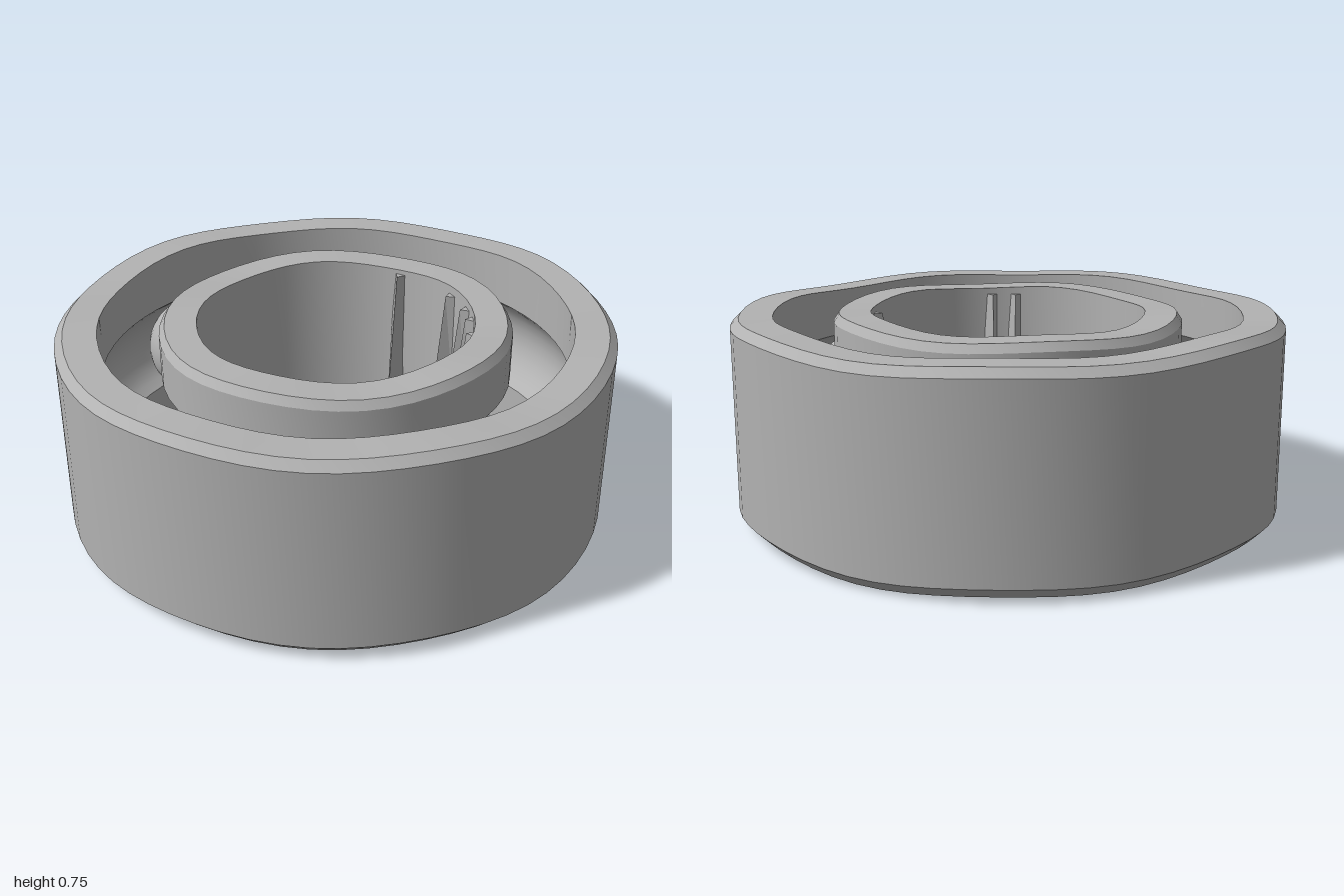
import * as THREE from 'three';
import { toCreasedNormals } from 'three/addons/utils/BufferGeometryUtils.js';

const BOTTOM = 0.015, TOP = 0.745, MID = 0.38;
const PITCH = 0.75, BALL = 0.195, GROOVE = 0.2;

// Arc of the ball groove cut into a wall of radius r, listed from angle a to angle b
function grooveArc(r, a, b) {
  const points = [];
  for (let i = 0; i <= 10; i++) {
    const t = a + (b - a) * i / 10;
    points.push(new THREE.Vector2(PITCH + GROOVE * Math.cos(t), MID + GROOVE * Math.sin(t)));
  }
  return points;
}

// Closed cross-section spun round the axis, with slightly uneven rims
function ring(name, profile, segments, waves, material) {
  const geometry = new THREE.LatheGeometry([...profile, profile[0].clone()], segments);
  const p = geometry.attributes.position;
  for (let i = 0; i < p.count; i++) {
    const y = p.getY(i);
    if (y > 0.1 && y < 0.68) continue;
    const angle = Math.atan2(p.getX(i), p.getZ(i));
    p.setY(i, y + 0.012 * Math.sin(waves * angle) * Math.cos(2 * angle));
  }
  const mesh = new THREE.Mesh(toCreasedNormals(geometry, 0.5), material);
  mesh.name = name;
  return mesh;
}

// Sharp spline tooth on the bore, standing out further towards its foot
function tooth(degrees, material) {
  const shape = new THREE.Shape([
    new THREE.Vector2(0.53, -0.04), new THREE.Vector2(0.53, 0.04), new THREE.Vector2(0.4, 0),
  ]);
  const geometry = new THREE.ExtrudeGeometry(shape, { depth: 0.67, bevelEnabled: false });
  geometry.rotateX(-Math.PI / 2).translate(0, 0.05, 0);
  const p = geometry.attributes.position;
  for (let i = 0; i < p.count; i++) {
    if (p.getY(i) > 0.5 && p.getX(i) < 0.45) p.setX(i, 0.47);
  }
  geometry.rotateY(THREE.MathUtils.degToRad(degrees));
  const flat = geometry.toNonIndexed ? (geometry.index ? geometry.toNonIndexed() : geometry) : geometry;
  flat.computeVertexNormals();
  const mesh = new THREE.Mesh(flat, material);
  mesh.name = 'splineTooth';
  return mesh;
}

export function createModel() {
  const model = new THREE.Group();
  model.name = 'ballBearing';
  const steel = new THREE.MeshStandardMaterial({ color: 0xb2b2b2 });
  steel.name = 'steelGrey';
  const v = (x, y) => new THREE.Vector2(x, y);

  // Outer race: chamfered outside, grooved inside
  const outerHalf = Math.acos((0.85 - PITCH) / GROOVE);
  model.add(ring('outerRace', [
    v(0.85, BOTTOM), v(0.96, BOTTOM), v(1, 0.055), v(1, 0.715), v(0.97, TOP), v(0.85, TOP),
    ...grooveArc(0.85, outerHalf, -outerHalf),
  ], 64, 5, steel));

  // Inner race: grooved outside, plain bore
  const innerHalf = Math.acos((PITCH - 0.635) / GROOVE);
  model.add(ring('innerRace', [
    v(0.5, BOTTOM), v(0.61, BOTTOM), v(0.635, 0.05),
    ...grooveArc(0.635, Math.PI + innerHalf, Math.PI - innerHalf),
    v(0.635, 0.715), v(0.615, TOP), v(0.5, TOP),
  ], 48, 3, steel));

  // Four balls between the races
  const ballGeometry = new THREE.SphereGeometry(BALL, 32, 20);
  for (let i = 0; i < 4; i++) {
    const angle = i * Math.PI / 2 + 0.05;
    const ball = new THREE.Mesh(ballGeometry, steel);
    ball.name = 'ball';
    ball.position.set(PITCH * Math.cos(angle), MID, -PITCH * Math.sin(angle));
    model.add(ball);
  }

  // Spline teeth along part of the bore
  const teeth = new THREE.Group();
  teeth.name = 'splineTeeth';
  for (const degrees of [104, 73, 58, 48, 34, -41, -52]) teeth.add(tooth(degrees, steel));
  model.add(teeth);

  return model;
}
